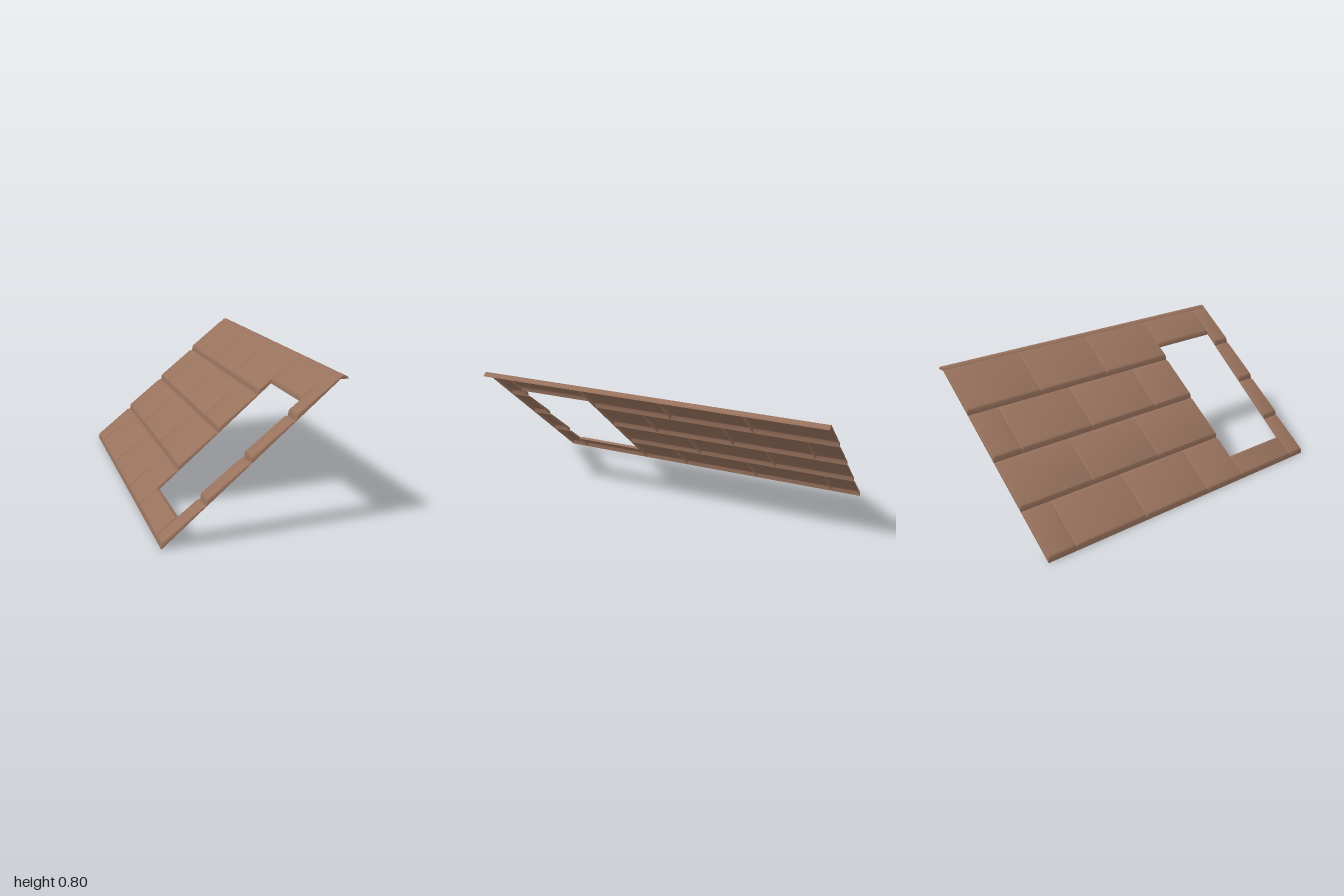
import * as THREE from 'three';
import { toCreasedNormals } from 'three/addons/utils/BufferGeometryUtils.js';

const PITCH = 0.877; // rise per unit of run along the underside
const STEP = 0.2225; // run of one course
const X0 = -0.465;

export function createModel() {
  const roof = new THREE.Group();
  roof.name = 'roofSlope';
  const clay = new THREE.MeshStandardMaterial({ color: 0x98725d, side: THREE.DoubleSide });
  clay.name = 'clay brown';

  const baseY = (x) => 0.003 + (x - X0) * PITCH;

  // Open-bottomed tile: thick lower lip, tapering and rounding off at the upper end
  function tile(name, xa, xb, za, zb, lip = 0.033, tail = 0.012) {
    const run = xb - xa;
    const profile = [
      [0, 0], [0.002, lip * 0.72], [0.005, lip * 0.86], [0.011, lip * 0.84],
      [run - 0.02, tail + 0.002], [run - 0.009, tail * 0.6], [run, 0],
    ];
    const position = [], index = [];
    for (const [dx, h] of profile) {
      const x = xa + dx, y = baseY(x);
      const section = [
        [za, 0], [za + 0.001, h * 0.7], [za + 0.004, h * 0.93], [za + 0.009, h],
        [zb - 0.009, h], [zb - 0.004, h * 0.93], [zb - 0.001, h * 0.7], [zb, 0],
      ];
      for (const [z, up] of section) position.push(x, y + up, z);
    }
    const n = 8;
    for (let i = 0; i < profile.length - 1; i++) {
      for (let j = 0; j < n - 1; j++) {
        const a = i * n + j, b = a + n;
        index.push(a, a + 1, b, a + 1, b + 1, b);
      }
    }
    const geometry = new THREE.BufferGeometry();
    geometry.setAttribute('position', new THREE.Float32BufferAttribute(position, 3));
    geometry.setIndex(index);
    const mesh = new THREE.Mesh(toCreasedNormals(geometry, 0.6), clay);
    mesh.name = name;
    roof.add(mesh);
  }

  // Four courses with staggered joints, plus the narrow column beyond the opening
  const joints = [
    [-1, -0.82, -0.34, 0.14, 0.437],
    [-1, -0.525, -0.045, 0.437],
  ];
  for (let row = 0; row < 4; row++) {
    const xa = X0 + row * STEP;
    const xb = row === 3 ? 0.427 : xa + STEP;
    const z = joints[row % 2];
    for (let i = 0; i < z.length - 1; i++) tile('roofTile', xa, xb, z[i], z[i + 1]);
    tile('edgeTile', xa, xb, 0.884, 1);
  }

  // Cut tiles below and above the opening
  tile('lowerOpeningTile', X0, -0.349, 0.437, 0.884, 0.033, 0.022);
  tile('upperOpeningTile', 0.272, 0.427, 0.437, 0.884, 0.027);

  // Rounded ridge capping
  const cap = new THREE.Shape();
  cap.moveTo(0.416, 0.782);
  cap.quadraticCurveTo(0.426, 0.799, 0.442, 0.799);
  cap.quadraticCurveTo(0.456, 0.799, 0.465, 0.782);
  cap.closePath();
  const capGeometry = new THREE.ExtrudeGeometry(cap, { depth: 2, bevelEnabled: false, curveSegments: 5 });
  capGeometry.translate(0, 0, -1);
  const ridge = new THREE.Mesh(toCreasedNormals(capGeometry, 0.6), clay);
  ridge.name = 'ridgeCap';
  roof.add(ridge);

  return roof;
}
